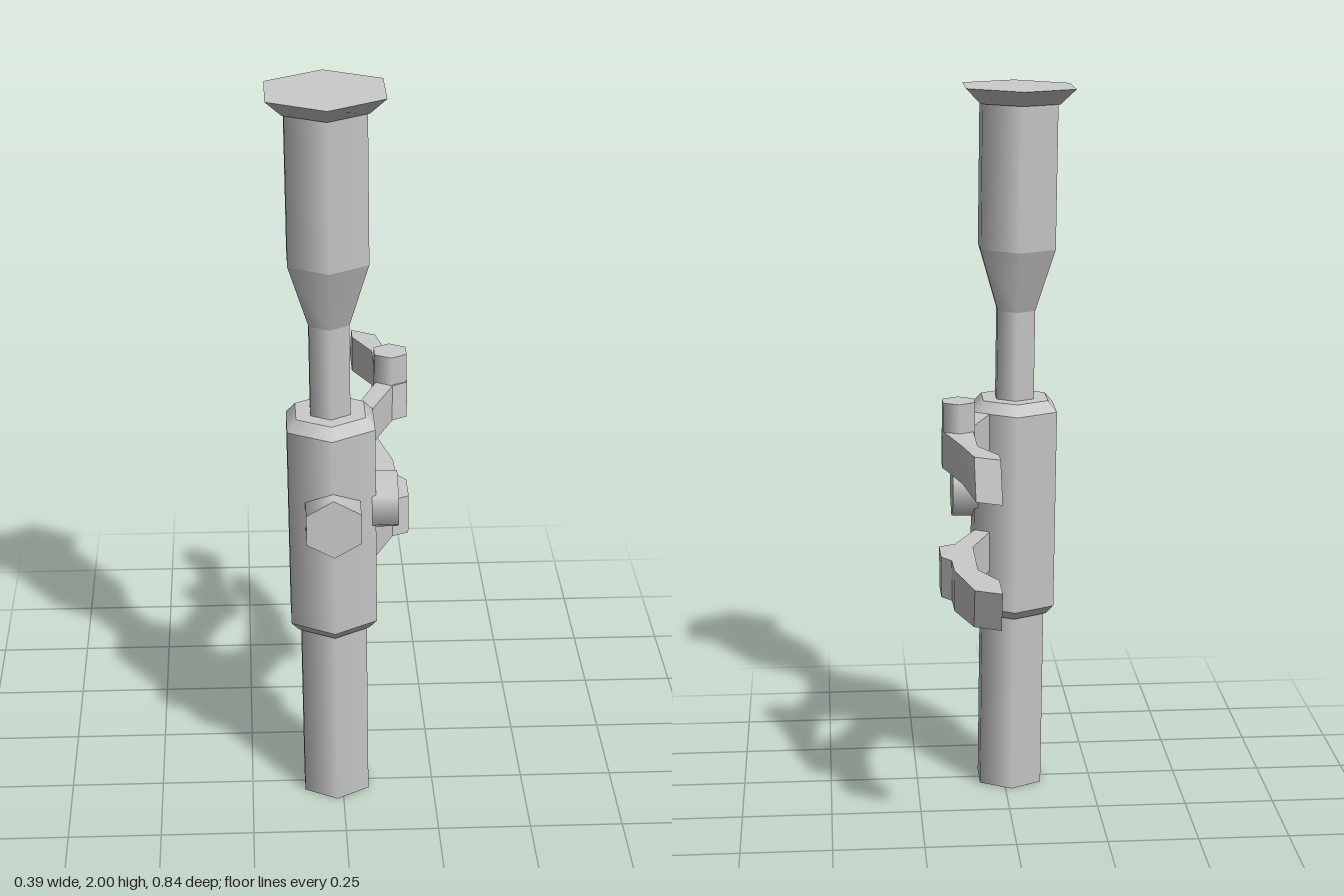
import * as THREE from 'three';
import { mergeGeometries } from 'three/addons/utils/BufferGeometryUtils.js';

const material = new THREE.MeshStandardMaterial({ color: 0xcccccc });

function addMesh(parent, name, geometry) {
  const mesh = new THREE.Mesh(geometry, material);
  mesh.name = name;
  parent.add(mesh);
  return mesh;
}

// Six-sided turned shape: smooth around, sharp between profile sections
function hexTurned(profile) {
  const bands = [];
  for (let i = 0; i < profile.length - 1; i++) {
    const pair = [profile[i], profile[i + 1]].map(([r, y]) => new THREE.Vector2(r, y));
    bands.push(new THREE.LatheGeometry(pair, 6));
  }
  return mergeGeometries(bands);
}

// Flat bracket from a plan outline (x, z); the hooked end is slanted
// by shifting its upper or lower corners forward
function bracketGeometry(outline, bottom, top, slantTop, slantBottom) {
  const shape = new THREE.Shape(outline.map(([x, z]) => new THREE.Vector2(x, z)));
  const geometry = new THREE.ExtrudeGeometry(shape, { depth: top - bottom, bevelEnabled: false });
  geometry.rotateX(Math.PI / 2).translate(0, top, 0);
  const p = geometry.attributes.position;
  const middle = (top + bottom) / 2;
  for (let i = 0; i < p.count; i++) {
    if (p.getZ(i) < -0.36) {
      p.setZ(i, p.getZ(i) + (p.getY(i) > middle ? slantTop : slantBottom));
    }
  }
  geometry.computeVertexNormals();
  return geometry;
}

export function createModel() {
  const model = new THREE.Group();
  model.name = 'scope';

  // Tube assembly leans very slightly to one side
  const tube = new THREE.Group();
  tube.name = 'tubeAssembly';
  tube.position.set(-0.017, 0, 0.247);
  tube.rotation.z = 0.014;
  model.add(tube);

  addMesh(tube, 'eyepiece', hexTurned([[0, 0], [0.101, 0], [0.101, 0.515]]));
  addMesh(tube, 'body', hexTurned([
    [0, 0.515], [0.11, 0.515], [0.132, 0.54], [0.132, 1.105], [0.104, 1.135], [0, 1.135],
  ]));
  addMesh(tube, 'objective', hexTurned([
    [0.06, 1.135], [0.06, 1.385], [0.119, 1.56], [0.119, 1.957],
  ]));
  addMesh(tube, 'rim', hexTurned([[0, 1.957], [0.125, 1.957], [0.172, 2], [0, 2]]));

  // Adjustment knobs on the front and left faces
  const knob = new THREE.CylinderGeometry(0.083, 0.083, 0.12, 6).rotateX(Math.PI / 2);
  addMesh(tube, 'frontKnob', knob).position.set(0, 0.873, 0.112);
  const sideKnob = addMesh(tube, 'sideKnob', knob);
  sideKnob.position.set(0.114, 0.873, 0);
  sideKnob.rotation.y = Math.PI / 2;

  // Mounting brackets reaching backwards
  const inner = [[0.05, -0.3], [0.1, -0.2], [0.1, 0.01], [0.04, 0.165]];
  const upperOutline = [
    ...inner, [0.083, 0.18], [0.143, 0.038], [0.184, 0.014], [0.184, -0.036],
    [0.177, -0.053], [0.14, -0.2], [0.116, -0.383], [0.05, -0.42],
  ];
  const lowerOutline = [
    ...inner, [0.085, 0.18], [0.147, 0.045], [0.192, 0.024], [0.192, -0.077],
    [0.165, -0.112], [0.163, -0.202], [0.12, -0.383], [0.05, -0.42],
  ];
  addMesh(model, 'upperBracket', bracketGeometry(upperOutline, 1.005, 1.107, 0.068, 0));
  addMesh(model, 'lowerBracket', bracketGeometry(lowerOutline, 0.655, 0.768, 0, 0.042));

  // Locking bolt through the upper bracket
  const bolt = new THREE.CylinderGeometry(0.05, 0.05, 0.182, 6);
  addMesh(model, 'bolt', bolt).position.set(0.139, 1.096, -0.015);

  return model;
}
